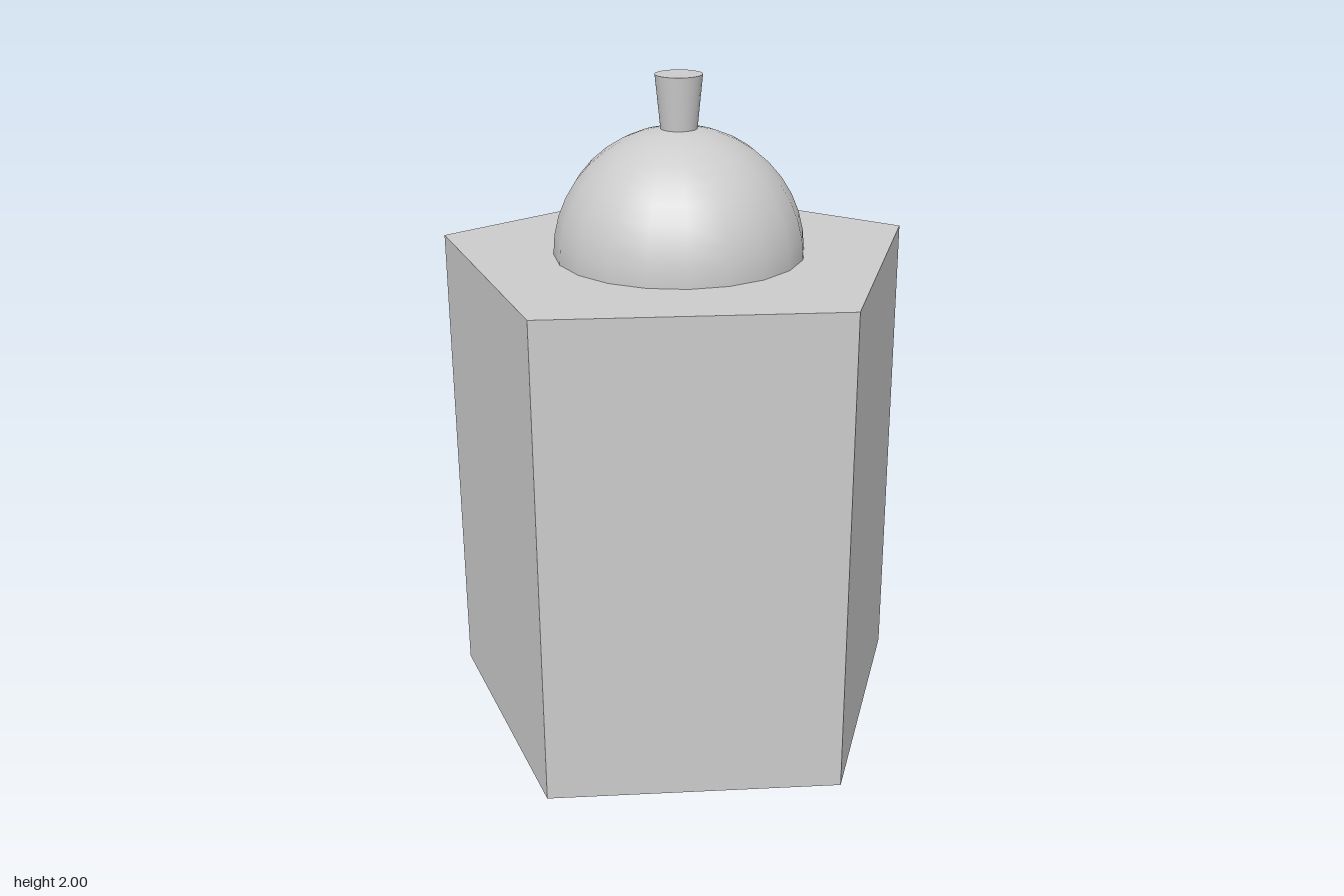
import * as THREE from 'three';

export function createModel() {
  const model = new THREE.Group();
  const axisX = -0.07; // shared vertical axis of all parts

  const add = (name, geometry, y, flatShading = false) => {
    const material = new THREE.MeshStandardMaterial({ color: 0xcccccc, flatShading });
    const mesh = new THREE.Mesh(geometry, material);
    mesh.name = name;
    mesh.position.set(axisX, y, 0);
    model.add(mesh);
  };

  // Five-sided body with one corner pointing to +x
  const bodyHeight = 1.48;
  const body = new THREE.CylinderGeometry(0.739, 0.739, bodyHeight, 5, 1, false, Math.PI / 2);
  add('body', body, bodyHeight / 2, true);

  // Half-sphere lid resting on the body
  const lidRadius = 0.37;
  const lid = new THREE.SphereGeometry(lidRadius, 20, 10, 0, Math.PI * 2, 0, Math.PI / 2);
  add('domeLid', lid, bodyHeight);

  // Tapered knob, sunk slightly into the lid
  const knobBottom = bodyHeight + lidRadius - 0.01;
  const knobHeight = 2 - knobBottom;
  const knob = new THREE.CylinderGeometry(0.069, 0.053, knobHeight, 24);
  add('knob', knob, knobBottom + knobHeight / 2);

  return model;
}
